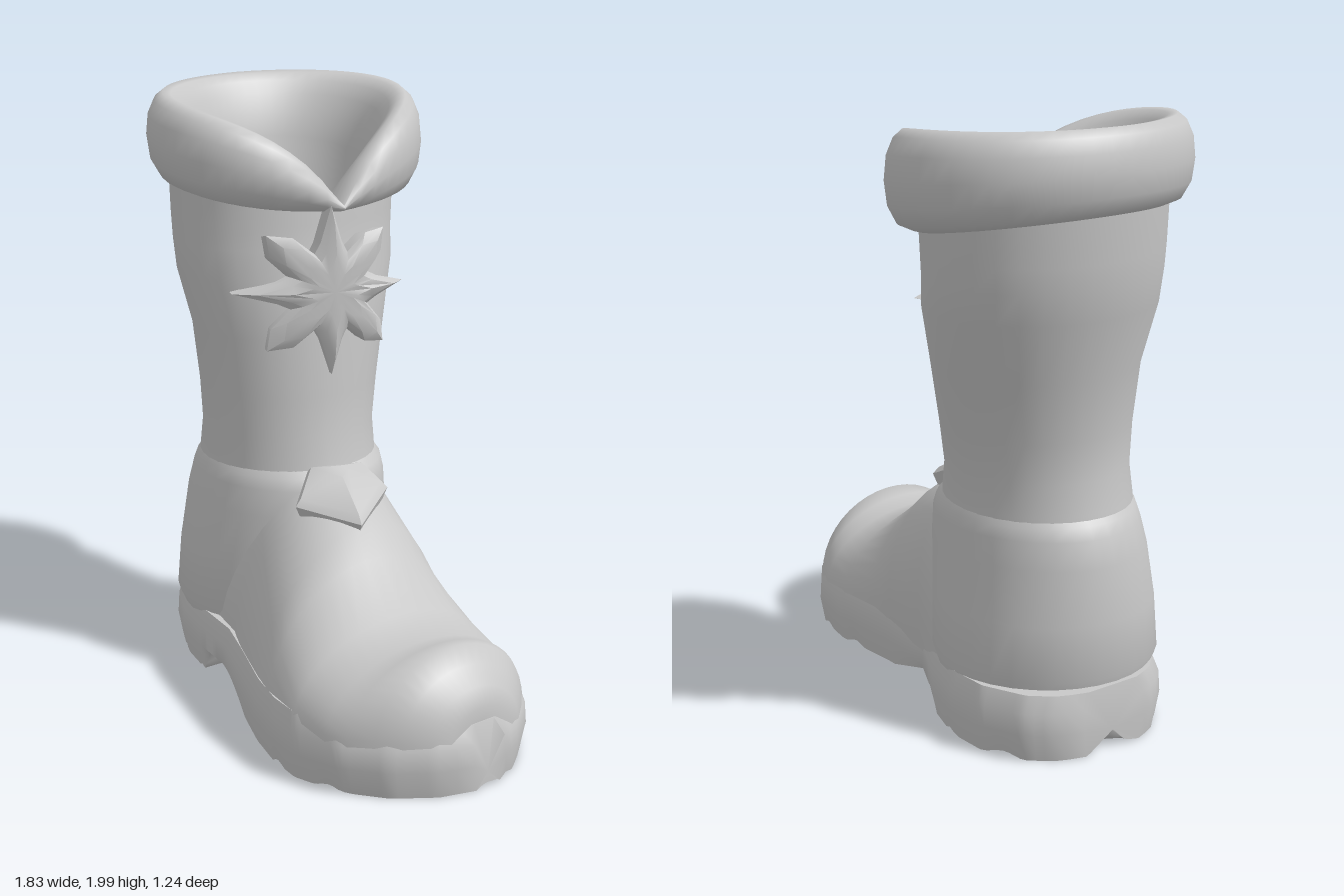
import * as THREE from 'three';
import { toCreasedNormals } from 'three/addons/utils/BufferGeometryUtils.js';

const grey = new THREE.MeshStandardMaterial({ color: 0xc8c8c8 });
grey.name = 'plain grey';

// Skin a series of closed rings; caps collapse to the ring centre
function loft(rings, capStart, capEnd, crease = 0.9) {
  const middle = (r) => {
    const c = r.reduce((s, p) => s.map((v, k) => v + p[k] / r.length), [0, 0, 0]);
    return r.map(() => c);
  };
  const all = [...rings];
  if (capStart) all.unshift(middle(rings[0]));
  if (capEnd) all.push(middle(rings[rings.length - 1]));
  const n = rings[0].length, index = [];
  for (let i = 0; i < all.length - 1; i++) {
    for (let j = 0; j < n; j++) {
      const a = i * n + j, b = i * n + (j + 1) % n, c = a + n, d = b + n;
      if (!capStart || i > 0) index.push(a, c, b);
      if (!capEnd || i < all.length - 2) index.push(b, c, d);
      else index.push(a, c, b);
      if (capStart && i === 0) index.push(b, c, d);
    }
  }
  const g = new THREE.BufferGeometry();
  g.setAttribute('position', new THREE.Float32BufferAttribute(all.flat(2), 3));
  g.setIndex(index.filter((_, k) => k >= 0));
  return toCreasedNormals(g, crease);
}

// Linear lookup in rows keyed by their first value
function sample(rows, x) {
  let i = 0;
  while (i < rows.length - 2 && x > rows[i + 1][0]) i++;
  const t = (x - rows[i][0]) / (rows[i + 1][0] - rows[i][0]);
  return rows[i].map((v, k) => v + (rows[i + 1][k] - v) * t);
}

// Lower edge of the cuff, dipping towards the toe side
const cuffLow = (t) => 1.675 - 0.055 * Math.cos(t);

// Horizontal oval: y (number or rule), x range, z range
const oval = ([y, x0, x1, z0, z1]) => Array.from({ length: 32 }, (_, j) => {
  const t = j / 32 * Math.PI * 2;
  return [(x0 + x1) / 2 + (x1 - x0) / 2 * Math.cos(t), typeof y === 'number' ? y : y(t),
    (z0 + z1) / 2 + (z1 - z0) / 2 * Math.sin(t)];
});

export function createModel() {
  const boot = new THREE.Group();
  boot.name = 'boot';
  const add = (name, geometry) => {
    const m = new THREE.Mesh(geometry, grey);
    m.name = name;
    boot.add(m);
  };

  // Leg of the boot
  add('shaft', loft([
    [0.66, -0.72, -0.05, -0.33, 0.27], [0.76, -0.71, -0.07, -0.33, 0.265],
    [0.86, -0.69, -0.09, -0.33, 0.26], [1.0, -0.70, -0.1, -0.36, 0.265],
    [1.2, -0.73, -0.11, -0.41, 0.28], [1.4, -0.79, -0.13, -0.475, 0.315],
    [1.5, -0.81, -0.15, -0.49, 0.315], [1.58, -0.82, -0.155, -0.5, 0.315],
    [(t) => cuffLow(t) + 0.015, -0.83, -0.16, -0.51, 0.315],
  ].map(oval), false, false));

  // Ankle and heel cup
  add('ankle', loft([
    [0.14, -0.74, -0.08, -0.35, 0.31], [0.24, -0.785, -0.05, -0.385, 0.35],
    [0.42, -0.78, -0.03, -0.37, 0.335], [0.6, -0.765, -0.01, -0.35, 0.305],
    [0.69, -0.745, -0.02, -0.345, 0.285], [0.73, -0.725, -0.04, -0.34, 0.275],
    [0.77, -0.69, -0.09, -0.32, 0.25],
  ].map(oval), false, false));

  // Rolled cuff with a V notch at the toe side, funnelling into the lining
  const cuffRing = (s, height) => Array.from({ length: 48 }, (_, j) => {
    const t = 0.14 + j / 48 * Math.PI * 2;
    const away = Math.min(j, 48 - j) / 48 * Math.PI * 2;
    const low = cuffLow(t), top = 1.995 - 0.34 * Math.exp(-away / 0.55);
    return [-0.5 + 0.42 * s * Math.cos(t), height(low, top), -0.12 + 0.5 * s * Math.sin(t)];
  });
  const roll = [[0.72, -0.04], [0.82, 0], [0.92, 0.07], [0.98, 0.25], [1, 0.5], [0.985, 0.75],
    [0.94, 0.92], [0.88, 1], [0.82, 0.98], [0.76, 0.89], [0.7, 0.73], [0.64, 0.48], [0.59, 0.2]];
  const lining = [[0.55, 1.56], [0.49, 1.45], [0.4, 1.37], [0.25, 1.32], [0.1, 1.3]];
  add('cuff', loft([
    ...roll.map(([s, f]) => cuffRing(s, (low, top) => low + (top - low) * f)),
    ...lining.map(([s, y]) => cuffRing(s, () => y)),
  ], false, true, 1.2));

  // Foot upper: x, z range, top height, z of the ridge
  const upper = [
    [-0.45, -0.35, 0.31, 0.55, -0.03], [-0.3, -0.34, 0.335, 0.67, -0.03], [-0.17, -0.3, 0.375, 0.73, -0.02],
    [-0.05, -0.25, 0.44, 0.745, 0], [0.18, -0.21, 0.54, 0.63, 0.08], [0.28, -0.205, 0.575, 0.56, 0.13],
    [0.46, -0.215, 0.61, 0.43, 0.18], [0.6, -0.195, 0.585, 0.39, 0.2], [0.67, -0.17, 0.555, 0.405, 0.2],
    [0.74, -0.12, 0.5, 0.42, 0.2], [0.8, -0.06, 0.44, 0.375, 0.2], [0.85, 0, 0.37, 0.32, 0.19],
    [0.875, 0.05, 0.31, 0.26, 0.18],
  ];
  add('footUpper', loft(upper.map(([x, z0, z1, top, ridge]) => Array.from({ length: 22 }, (_, j) => {
    const t = j / 21 * Math.PI, c = (z0 + z1) / 2, s = Math.sin(t);
    return [x, 0.14 + (top - 0.14) * Math.pow(s, 0.9), c + (z1 - z0) / 2 * Math.cos(t) + (ridge - c) * s];
  })), true, true));

  // Sole with slanted heel step, raised arch and broad tread folds
  const outline = [[-0.8, -0.17, 0.08], [-0.77, -0.26, 0.16], [-0.7, -0.34, 0.24], [-0.55, -0.4, 0.32],
    [-0.4, -0.4, 0.36], [-0.2, -0.33, 0.395], [-0.05, -0.25, 0.455], [0.2, -0.215, 0.56], [0.35, -0.22, 0.605],
    [0.48, -0.225, 0.62], [0.65, -0.19, 0.575], [0.78, -0.1, 0.48], [0.87, 0.02, 0.36], [0.91, 0.11, 0.24]];
  const arch = [[-1, 0], [-0.24, 0], [-0.2, 0.08], [-0.06, 0.075], [0.2, 0], [1.3, 0]];
  const soleRings = Array.from({ length: 91 }, (_, i) => {
    const x = -0.8 + 1.71 * i / 90, inset = x > 0 ? 0.965 : 0.985;
    const [, z0, z1] = sample(outline, x);
    const ring = [[x, 0.09, z1], [x * 0.995, 0.16, z1 - 0.003], [x * inset, 0.215, z1 - 0.025],
      [x * inset, 0.215, z0 + 0.025], [x * 0.995, 0.16, z0 + 0.003], [x, 0.09, z0]];
    for (let k = 0; k <= 14; k++) {
      const z = z0 + 0.015 + (z1 - z0 - 0.03) * k / 14, slanted = x + 0.2 * (z + 0.33);
      const treaded = x > 0.35 || slanted < -0.26;
      const hollow = Math.sin(k / 14 * Math.PI);
      const fold = treaded ? (0.015 + 0.035 * hollow) * Math.max(0, Math.sin((x + 0.6 * z) * 28)) ** 2 : 0;
      ring.push([x * 0.99, sample(arch, slanted)[1] + fold + 0.015 * hollow, z]);
    }
    return ring;
  });
  add('sole', loft(soleRings, true, true, 0.9));

  // Eight-pointed star ornament, bent around the shaft
  const arm = [[0, 0.288], [12, 0.17], [23, 0.14], [33, 0.222], [45, 0.278], [57, 0.222], [67, 0.14], [78, 0.17]];
  const starRing = (scale, lift) => Array.from({ length: 32 }, (_, j) => {
    const [deg, r] = arm[j % 8];
    const t = (deg + 90 * Math.floor(j / 8)) * Math.PI / 180;
    const z = r * scale * Math.cos(t), y = r * scale * Math.sin(t);
    return [-0.095 - 0.33 * z - 0.9 * z * z + lift, 1.365 + y, z];
  });
  add('starOrnament', loft([starRing(0.95, -0.045), starRing(1, 0), starRing(0.8, 0.02), starRing(0.45, 0.03)], true, true, 0.6));

  // Faceted plate on the instep
  const plate = [[-0.03, 0.75, -0.09], [0.08, 0.7, -0.1], [0.2, 0.645, 0.11], [0.0, 0.68, 0.23], [-0.09, 0.755, 0.11]];
  const peak = [0.0, 0.79, 0.05];
  const plateRing = (t, drop) => plate.map((p) => p.map((v, k) => v + (peak[k] - v) * t - (k === 1 ? drop : 0)));
  add('instepPlate', loft([plateRing(0.1, 0.05), plateRing(0, 0), plateRing(0.12, -0.012), plateRing(0.8, 0)], true, true, 0.5));

  return boot;
}
